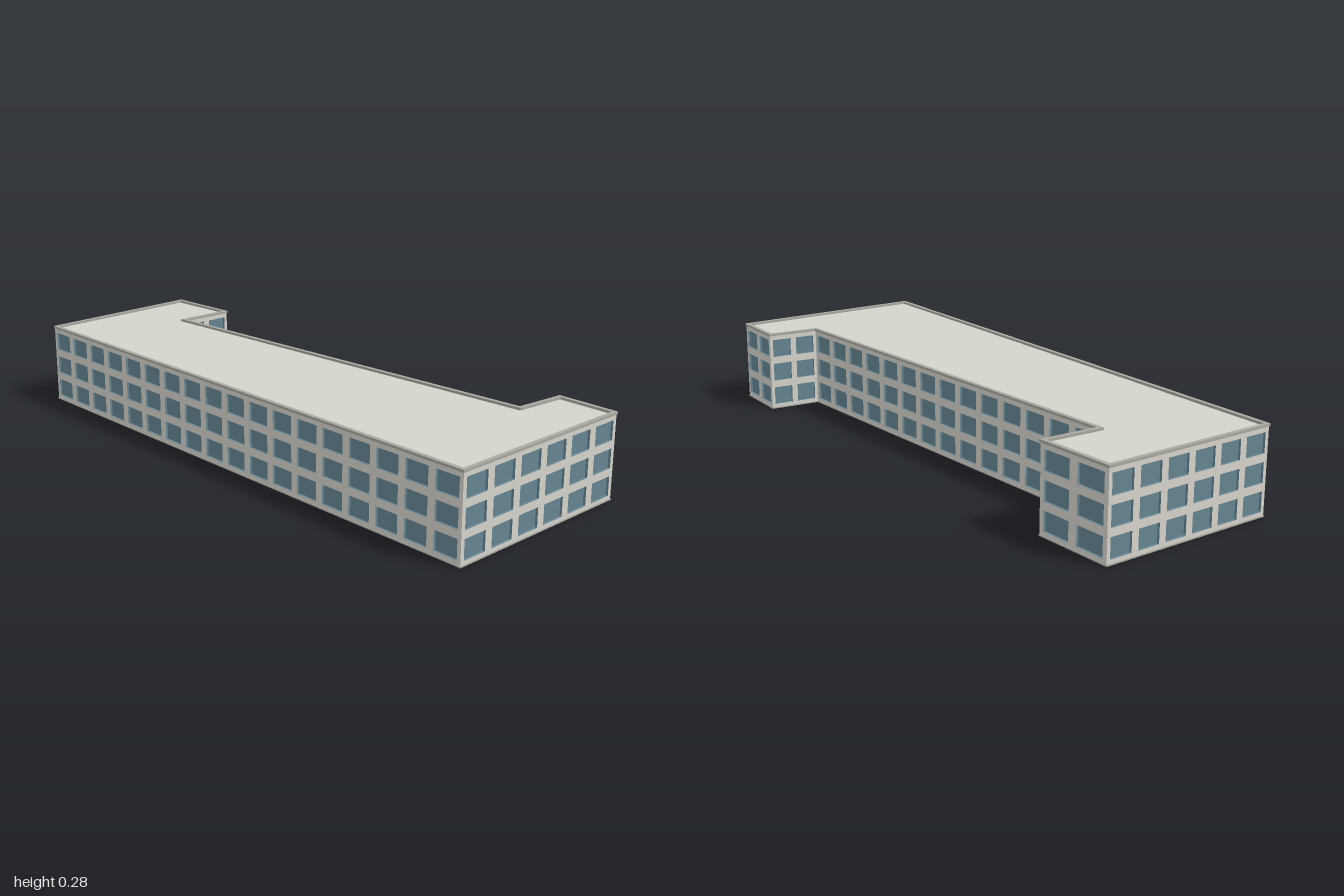
import * as THREE from 'three';
import { mergeGeometries } from 'three/addons/utils/BufferGeometryUtils.js';

const mat = (name, color) =>
  new THREE.MeshStandardMaterial({ name, color, side: THREE.DoubleSide });

// Footprint corners [x, -z], counter-clockwise, and bays along the edge that starts there
const CORNERS = [
  [-1, 0.38, 18], [0.58, -0.877, 6], [1, -0.305, 2], [0.832, -0.168, 2],
  [0.713, -0.302, 14], [-0.543, 0.565, 2], [-0.42, 0.72, 2], [-0.648, 0.877, 6],
];
const OUTLINE = CORNERS.map(([x, s]) => new THREE.Vector2(x, s));
const WALL_TOP = 0.272, TOP = 0.28, FLOORS = 3, FLOOR_H = 0.0885, RECESS = 0.008;

// Move every edge of the footprint inward by d, with mitred corners
function inset(points, d) {
  const n = points.length;
  return points.map((p, i) => {
    const a = p.clone().sub(points[(i + n - 1) % n]).normalize();
    const b = points[(i + 1) % n].clone().sub(p).normalize();
    const na = new THREE.Vector2(-a.y, a.x), nb = new THREE.Vector2(-b.y, b.x);
    return p.clone().addScaledVector(na.clone().add(nb), d / (1 + na.dot(nb)));
  });
}

// Flat band that follows the footprint
function band(outer, inner, y, height) {
  const shape = new THREE.Shape(inset(OUTLINE, outer));
  shape.holes.push(new THREE.Path(inset(OUTLINE, inner)));
  return new THREE.ExtrudeGeometry(shape, { depth: height, bevelEnabled: false })
    .rotateX(-Math.PI / 2).translate(0, y, 0);
}

// Recessed pane with its reveals: a box without its front face
function windowPane(w, h, x, y) {
  const box = new THREE.BoxGeometry(w, h, RECESS);
  const index = Array.from(box.index.array);
  index.splice(24, 6);
  box.setIndex(index);
  return box.translate(x, y, -RECESS / 2);
}

export function createModel() {
  const model = new THREE.Group();
  model.name = 'officeBlock';
  const wallMat = mat('paleConcrete', 0xd6d4cb);
  const glassMat = mat('blueGreyGlass', 0x668592);
  const roofMat = mat('roofGrey', 0xd3d5cb);
  const trimMat = mat('trimGrey', 0xa9a9a1);

  const add = (parent, name, geometry, material) => {
    const mesh = new THREE.Mesh(geometry, material);
    mesh.name = name;
    parent.add(mesh);
  };

  // Facades: one pierced wall and one set of windows per footprint edge
  const corners = inset(OUTLINE, 0.003);
  corners.forEach((p, i) => {
    const edge = corners[(i + 1) % corners.length].clone().sub(p);
    const length = edge.length(), bays = CORNERS[i][2], pitch = length / bays;
    const w = pitch * 0.76, h = 0.063;
    const wall = new THREE.Shape([
      new THREE.Vector2(0, 0), new THREE.Vector2(length, 0),
      new THREE.Vector2(length, WALL_TOP), new THREE.Vector2(0, WALL_TOP),
    ]);
    const panes = [];
    for (let f = 0; f < FLOORS; f++) {
      for (let b = 0; b < bays; b++) {
        const x = (b + 0.5) * pitch, y = 0.048 + f * FLOOR_H;
        const x0 = x - w / 2, x1 = x + w / 2, y0 = y - h / 2, y1 = y + h / 2;
        wall.holes.push(new THREE.Path([
          new THREE.Vector2(x0, y0), new THREE.Vector2(x0, y1),
          new THREE.Vector2(x1, y1), new THREE.Vector2(x1, y0),
        ]));
        panes.push(windowPane(w, h, x, y));
      }
    }
    const facade = new THREE.Group();
    facade.name = 'facade' + (i + 1);
    facade.position.set(p.x, 0, -p.y);
    facade.rotation.y = Math.atan2(edge.y, edge.x);
    add(facade, 'wall', new THREE.ShapeGeometry(wall), wallMat);
    add(facade, 'windows', mergeGeometries(panes), glassMat);
    model.add(facade);
  });

  // Roof deck inside a low parapet, and a thin plinth line at the ground
  const deck = new THREE.ShapeGeometry(new THREE.Shape(inset(OUTLINE, 0.005)));
  add(model, 'roof', deck.rotateX(-Math.PI / 2).translate(0, 0.271, 0), roofMat);
  add(model, 'parapet', band(0, 0.014, WALL_TOP, TOP - WALL_TOP), trimMat);
  add(model, 'plinth', band(0.001, 0.007, 0, 0.004), trimMat);
  return model;
}
